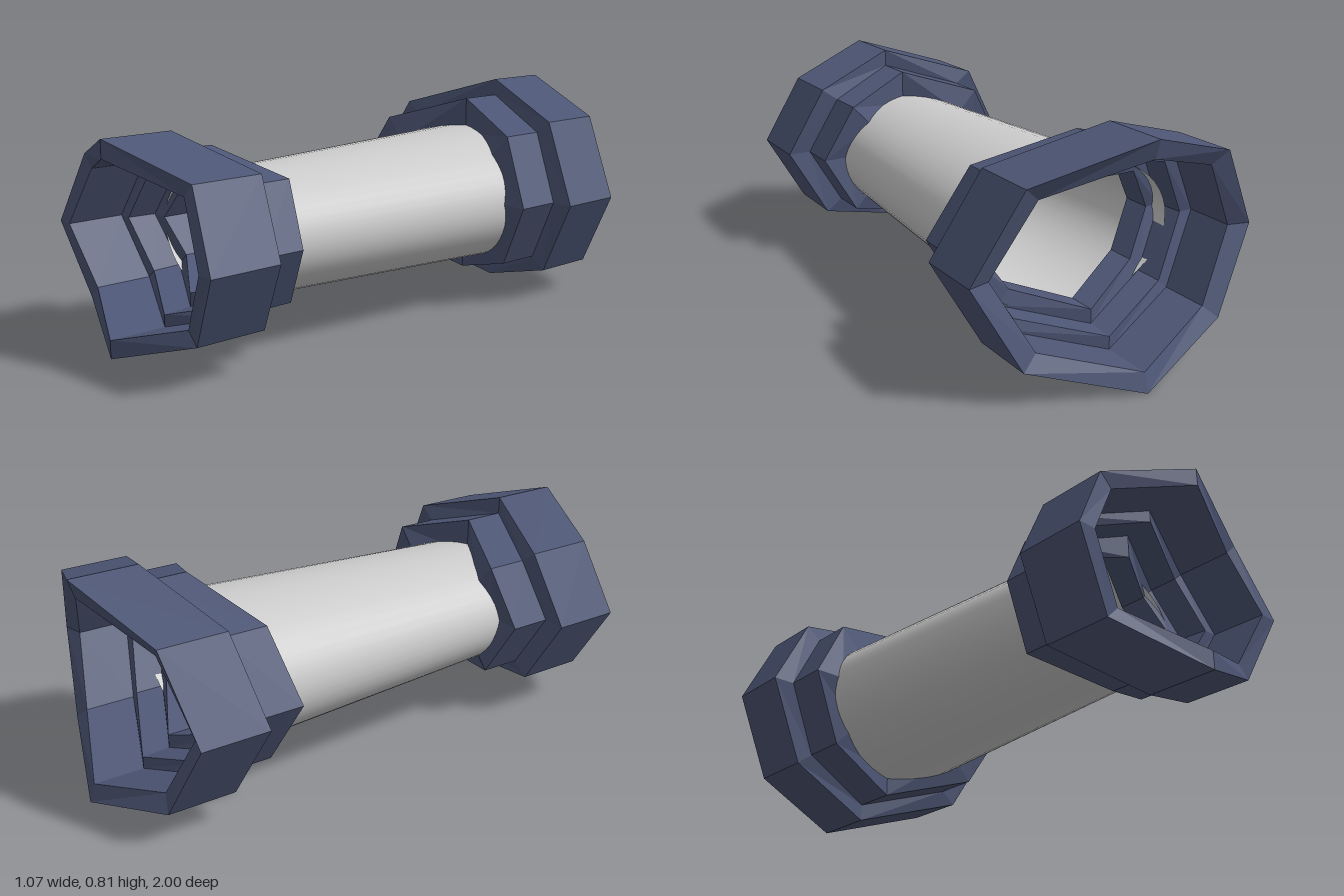
import * as THREE from 'three';

const MID = 0.405;
const blue = new THREE.MeshStandardMaterial({ color: 0x4d5675, flatShading: true });
const grey = new THREE.MeshStandardMaterial({ color: 0xcccccc, side: THREE.DoubleSide });

// Octagonal ring swept around a closed profile of [half width, half height, z, drop].
// Diagonal and side corners are pulled towards the middle to give the chevron edges.
function cuff(name, profile, diagonalPull, sidePull, dir) {
  const rings = profile.map(([a, b, z, drop = 0]) => Array.from({ length: 8 }, (_, i) => {
    const t = (i * Math.PI) / 4;
    const pull = i % 2 ? diagonalPull : i % 4 ? 0 : sidePull;
    // the narrow opening is a little flatter at the top
    const shift = i === 2 || i === 6 ? -drop : 0;
    return [a * Math.cos(t), MID + b * Math.sin(t) + shift, dir * (z - pull)];
  }));
  const pos = [];
  rings.forEach((ring, k) => {
    const next = rings[(k + 1) % rings.length];
    for (let i = 0; i < 8; i++) {
      const j = (i + 1) % 8;
      const [A, B, C, D] = [ring[i], ring[j], next[j], next[i]];
      const tris = dir > 0 ? [A, D, C, A, C, B] : [A, B, C, A, C, D];
      tris.forEach((p) => pos.push(...p));
    }
  });
  const geo = new THREE.BufferGeometry();
  geo.setAttribute('position', new THREE.Float32BufferAttribute(pos, 3));
  geo.computeVertexNormals();
  const mesh = new THREE.Mesh(geo, blue);
  mesh.name = name;
  return mesh;
}

export function createModel() {
  const group = new THREE.Group();
  group.name = 'sleeve';

  // Profiles run from the outer rim over the steps, through the lip and back out inside
  group.add(cuff('frontCuff', [
    [0.47, 0.355, 1], [0.47, 0.355, 0.75],
    [0.385, 0.292, 0.75], [0.385, 0.292, 0.6],
    [0.28, 0.178, 0.6, 0.018], [0.28, 0.178, 0.7, 0.018],
    [0.345, 0.242, 0.7], [0.355, 0.25, 0.8],
    [0.405, 0.292, 0.8], [0.405, 0.292, 1],
  ], 0.113, 0.08, 1));

  group.add(cuff('backCuff', [
    [0.537, 0.405, 1], [0.537, 0.405, 0.76],
    [0.457, 0.342, 0.76], [0.457, 0.342, 0.595],
    [0.345, 0.222, 0.595, 0.018], [0.345, 0.222, 0.7, 0.018],
    [0.4, 0.29, 0.7], [0.41, 0.295, 0.8],
    [0.46, 0.34, 0.8], [0.46, 0.34, 0.98],
  ], 0.115, 0.165, -1));

  // Tapered oval tube, open at both ends
  const tubeGeo = new THREE.CylinderGeometry(1, 1, 1.21, 48, 1, true);
  tubeGeo.rotateX(Math.PI / 2);
  const p = tubeGeo.attributes.position;
  for (let i = 0; i < p.count; i++) {
    const front = p.getZ(i) > 0;
    p.setX(i, p.getX(i) * (front ? 0.293 : 0.377));
    p.setY(i, p.getY(i) * (front ? 0.213 : 0.255));
  }
  tubeGeo.computeVertexNormals();
  // weld the shading across the seam
  const n = tubeGeo.attributes.normal;
  for (const s of [0, 49]) {
    const v = new THREE.Vector3().fromBufferAttribute(n, s)
      .add(new THREE.Vector3().fromBufferAttribute(n, s + 48)).normalize();
    n.setXYZ(s, v.x, v.y, v.z);
    n.setXYZ(s + 48, v.x, v.y, v.z);
  }
  const tube = new THREE.Mesh(tubeGeo, grey);
  tube.name = 'tube';
  tube.position.set(0, 0.386, 0.005);
  group.add(tube);

  return group;
}
